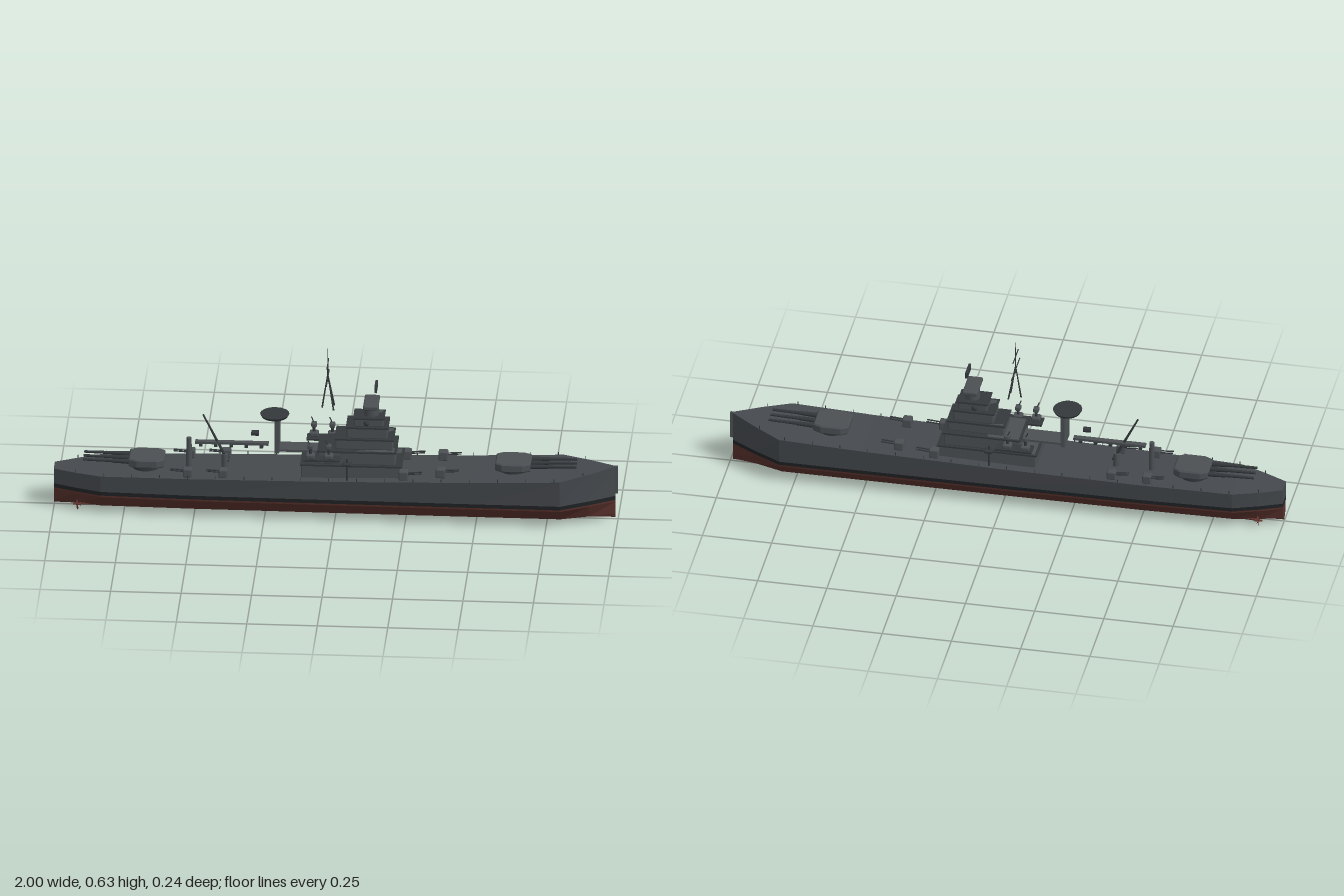
import * as THREE from 'three';
import { RoundedBoxGeometry } from 'three/addons/geometries/RoundedBoxGeometry.js';

const paint = (color, extra = {}) => new THREE.MeshStandardMaterial({ color, ...extra });
const grey = paint(0x4b4f53);
const dark = paint(0x34383b);
const hullGrey = paint(0x45494d, { flatShading: true, side: THREE.DoubleSide });
const bootBlack = paint(0x202326, { flatShading: true, side: THREE.DoubleSide });
const hullRed = paint(0x57302b, { flatShading: true, side: THREE.DoubleSide });
const bronze = paint(0x6b3a33, { side: THREE.DoubleSide });

// Hull stations: x, half width, deck height
const stations = [
  [-1, 0, 0.148], [-1, 0.03, 0.148], [-0.92, 0.066, 0.15], [-0.83, 0.1, 0.153], [-0.5, 0.113, 0.158],
  [0, 0.118, 0.165], [0.5, 0.121, 0.177], [0.8, 0.122, 0.188], [0.9, 0.064, 0.196], [0.99, 0.004, 0.203],
];

function hullAt(x) {
  for (let i = 2; i < stations.length; i++) {
    const a = stations[i - 1], b = stations[i];
    if (x <= b[0]) {
      const t = (x - a[0]) / (b[0] - a[0]);
      return { w: a[1] + t * (b[1] - a[1]), y: a[2] + t * (b[2] - a[2]) };
    }
  }
  return { w: 0.004, y: 0.203 };
}

function add(parent, name, geo, mat, x, y, z) {
  const m = new THREE.Mesh(geo, mat);
  m.name = name;
  m.position.set(x, y, z);
  parent.add(m);
  return m;
}

// Box given by its x and y ranges, its width and its z centre
function block(parent, name, x0, x1, y0, y1, width, z = 0, mat = grey, r = 0.005) {
  const sx = x1 - x0, sy = y1 - y0;
  const geo = r ? new RoundedBoxGeometry(sx, sy, width, 2, Math.min(r, sx / 3, sy / 3)) : new THREE.BoxGeometry(sx, sy, width);
  return add(parent, name, geo, mat, (x0 + x1) / 2, (y0 + y1) / 2, z);
}

// Round bar between two points
function bar(parent, name, from, to, r0, r1 = r0, mat = dark, sides = 8) {
  const a = new THREE.Vector3(...from), b = new THREE.Vector3(...to);
  const m = add(parent, name, new THREE.CylinderGeometry(r1, r0, a.distanceTo(b), sides), mat, 0, 0, 0);
  m.position.copy(a).add(b).multiplyScalar(0.5);
  m.quaternion.setFromUnitVectors(new THREE.Vector3(0, 1, 0), b.sub(a).normalize());
  return m;
}

// Strip lofted along the stations; each column is [fraction of half width, height or null for the deck]
function strip(parent, name, columns, mat) {
  const pos = [], index = [], n = columns.length;
  for (const [x, w, deck] of stations) {
    for (const [f, y] of columns) pos.push(x, y ?? deck, f * w);
  }
  for (let i = 0; i < stations.length - 1; i++) {
    for (let j = 0; j < n - 1; j++) {
      const a = i * n + j, b = a + n;
      index.push(a, b, a + 1, b, b + 1, a + 1);
    }
  }
  const geo = new THREE.BufferGeometry();
  geo.setAttribute('position', new THREE.Float32BufferAttribute(pos, 3));
  geo.setIndex(index);
  geo.computeVertexNormals();
  add(parent, name, geo, mat, 0, 0, 0);
}

function buildHull(g) {
  strip(g, 'lowerHull', [[0.9, 0.075], [0.89, 0.068], [0.56, 0.022], [0.12, 0.009], [0, 0.007],
    [-0.12, 0.009], [-0.56, 0.022], [-0.89, 0.068], [-0.9, 0.075]], hullRed);
  strip(g, 'deck', [[-1, null], [1, null]], hullGrey);
  for (const s of [1, -1]) {
    const side = (...cols) => (s > 0 ? cols.reverse() : cols).map(([f, y]) => [f * s, y]);
    strip(g, 'bootTop', side([0.9, 0.075], [0.92, 0.09]), bootBlack);
    strip(g, 'upperHull', side([0.92, 0.09], [1, null]), hullGrey);
  }
  block(g, 'stem', 0.984, 1, 0.1, 0.204, 0.009, 0, grey, 0);
  // Stanchions and edge fittings along the deck
  for (const s of [1, -1]) {
    for (let i = 0; i <= 18; i++) {
      const x = -0.92 + i * 0.1, h = hullAt(x);
      const z = s * Math.max(h.w - 0.003, 0);
      bar(g, 'stanchion', [x, h.y - 0.004, z], [x, h.y + 0.012, z], 0.0015, 0.0015, dark, 5);
    }
    // Propeller and shaft
    bar(g, 'propellerShaft', [-0.7, 0.03, s * 0.045], [-0.92, 0.022, s * 0.045], 0.004, 0.004, hullRed);
    const prop = new THREE.Group();
    prop.name = 'propeller';
    prop.position.set(-0.915, 0.021, s * 0.045);
    g.add(prop);
    bar(prop, 'hub', [0.012, 0, 0], [-0.015, 0, 0], 0.006, 0.003, bronze);
    for (let k = 0; k < 4; k++) {
      const blade = add(prop, 'blade', new THREE.CircleGeometry(0.0095, 12), bronze, 0, 0, 0);
      const a = k * Math.PI / 2;
      blade.position.set(0, Math.cos(a) * 0.0115, Math.sin(a) * 0.0115);
      blade.rotation.set(a, Math.PI / 2 - 0.4, 0, 'XYZ');
    }
  }
  block(g, 'rudder', -0.985, -0.945, 0.012, 0.07, 0.008, 0, hullRed, 0);
}

// Triple gun turret, facing +x before turning
function buildTurret(g, name, x, y, turn) {
  const t = new THREE.Group();
  t.name = name;
  t.position.set(x, y, 0);
  t.rotation.y = turn;
  g.add(t);
  add(t, 'barbette', new THREE.CylinderGeometry(0.05, 0.05, 0.02, 24), dark, 0, 0, 0);
  const plan = new THREE.Shape([[-0.062, -0.04], [-0.04, -0.054], [0.03, -0.054], [0.056, -0.042],
    [0.056, 0.042], [0.03, 0.054], [-0.04, 0.054], [-0.062, 0.04]].map(p => new THREE.Vector2(...p)));
  const house = new THREE.ExtrudeGeometry(plan, { depth: 0.022, bevelThickness: 0.005, bevelSize: 0.004, bevelSegments: 1 });
  house.rotateX(-Math.PI / 2);
  add(t, 'gunhouse', house, grey, 0, 0.011, 0);
  for (const z of [-0.034, 0, 0.034]) {
    bar(t, 'barrelSleeve', [0.05, 0.022, z], [0.12, 0.024, z], 0.009, 0.007, dark, 12);
    bar(t, 'barrel', [0.11, 0.024, z], [0.222, 0.026, z], 0.006, 0.0045, dark, 12);
  }
}

// Small shielded deck gun
function deckGun(g, x, y, z, size, dir) {
  block(g, 'gunShield', x - size / 2, x + size / 2, y, y + size, size, z);
  for (const d of [-0.2, 0.2]) {
    bar(g, 'smallBarrel', [x, y + size * 0.6, z + d * size], [x + dir * size * 1.9, y + size * 0.75, z + d * size], 0.0025);
  }
}

function buildTower(g) {
  // x0, x1, y0, y1, width
  const tiers = [
    [-0.12, 0.235, 0.155, 0.215, 0.165], [-0.06, 0.215, 0.213, 0.265, 0.15], [0, 0.205, 0.263, 0.305, 0.11],
    [0.04, 0.185, 0.303, 0.348, 0.098], [0.065, 0.17, 0.346, 0.38, 0.08],
  ];
  for (const t of tiers) {
    block(g, 'towerTier', ...t);
    block(g, 'tierLip', t[0] - 0.003, t[1] + 0.003, t[3] - 0.006, t[3], t[4] + 0.005, 0, dark, 0);
  }
  add(g, 'directorTower', new THREE.CylinderGeometry(0.027, 0.027, 0.042, 20), grey, 0.125, 0.4, 0);
  block(g, 'rangefinder', 0.098, 0.152, 0.416, 0.432, 0.11);
  block(g, 'radarScreen', 0.137, 0.146, 0.475, 0.497, 0.064, 0, dark, 0);
  // Sponsons and light guns on both sides
  for (const s of [1, -1]) {
    block(g, 'sponson', -0.11, 0.02, 0.24, 0.247, 0.05, s * 0.092, dark, 0);
    for (const x of [-0.085, -0.02]) {
      block(g, 'lightGunTub', x - 0.016, x + 0.016, 0.247, 0.264, 0.032, s * 0.098);
      block(g, 'lightGun', x - 0.01, x + 0.01, 0.282, 0.3, 0.024, s * 0.097);
      bar(g, 'gunPedestal', [x, 0.26, s * 0.097], [x, 0.285, s * 0.097], 0.005);
      bar(g, 'lightBarrel', [x, 0.295, s * 0.1], [x - 0.01, 0.318, s * 0.102], 0.002);
    }
    block(g, 'lowerTub', 0.03, 0.06, 0.226, 0.236, 0.03, s * 0.107, dark);
    bar(g, 'tubSupport', [0.045, 0.16, s * 0.103], [0.045, 0.25, s * 0.105], 0.004);
    add(g, 'searchlight', new THREE.SphereGeometry(0.01, 12, 8), dark, 0.11, 0.362, s * 0.044);
  }
}

function buildMast(g) {
  const top = [-0.03, 0.53, 0];
  for (const foot of [[-0.008, 0.4, 0.022], [-0.008, 0.4, -0.022], [-0.05, 0.4, 0]]) bar(g, 'mastLeg', foot, top, 0.003, 0.002);
  bar(g, 'mastPole', [-0.03, 0.5, 0], [-0.03, 0.628, 0], 0.0025, 0.001);
  bar(g, 'lowerYard', [-0.03, 0.515, -0.075], [-0.03, 0.515, 0.075], 0.002);
  bar(g, 'upperYard', [-0.03, 0.569, -0.048], [-0.03, 0.569, 0.048], 0.002);
}

function buildAmidships(g) {
  // Narrow funnel with a round cap, and the platform joining it to the tower
  block(g, 'funnel', -0.216, -0.2, 0.236, 0.368, 0.085, 0, grey, 0);
  const cap = add(g, 'funnelCap', new THREE.CylinderGeometry(0.052, 0.046, 0.01, 20), dark, -0.218, 0.367, 0);
  cap.scale.z = 1.05;
  block(g, 'bridgePlatform', -0.216, -0.06, 0.24, 0.248, 0.07, 0, grey, 0);
  add(g, 'aftSearchlight', new THREE.CylinderGeometry(0.01, 0.01, 0.026, 12).rotateZ(Math.PI / 2), dark, -0.288, 0.294, 0);
  // Boat rail with hanging lugs, end post and crane
  block(g, 'boatRail', -0.5, -0.24, 0.25, 0.259, 0.02, 0, grey, 0);
  for (let i = 0; i < 5; i++) block(g, 'railLug', -0.487 + i * 0.054, -0.475 + i * 0.054, 0.238, 0.251, 0.014, 0, dark, 0);
  bar(g, 'railPost', [-0.522, 0.155, 0], [-0.522, 0.27, 0], 0.011, 0.009, grey, 12);
  bar(g, 'cranePost', [-0.395, 0.155, 0], [-0.395, 0.21, 0], 0.013, 0.011, grey, 12);
  bar(g, 'craneJib', [-0.383, 0.18, 0], [-0.472, 0.36, 0], 0.006, 0.003);
}

export function createModel() {
  const ship = new THREE.Group();
  ship.name = 'warship';
  buildHull(ship);
  buildTurret(ship, 'forwardTurret', 0.632, 0.185, 0);
  buildTurret(ship, 'aftTurret', -0.674, 0.163, Math.PI);
  buildTower(ship);
  buildMast(ship);
  buildAmidships(ship);
  for (const s of [1, -1]) {
    deckGun(ship, 0.375, 0.178, s * 0.076, 0.034, 1);
    deckGun(ship, 0.245, 0.172, s * 0.092, 0.034, 1);
    deckGun(ship, -0.395, 0.16, s * 0.088, 0.032, -1);
    deckGun(ship, -0.522, 0.158, s * 0.085, 0.032, -1);
  }
  return ship;
}
